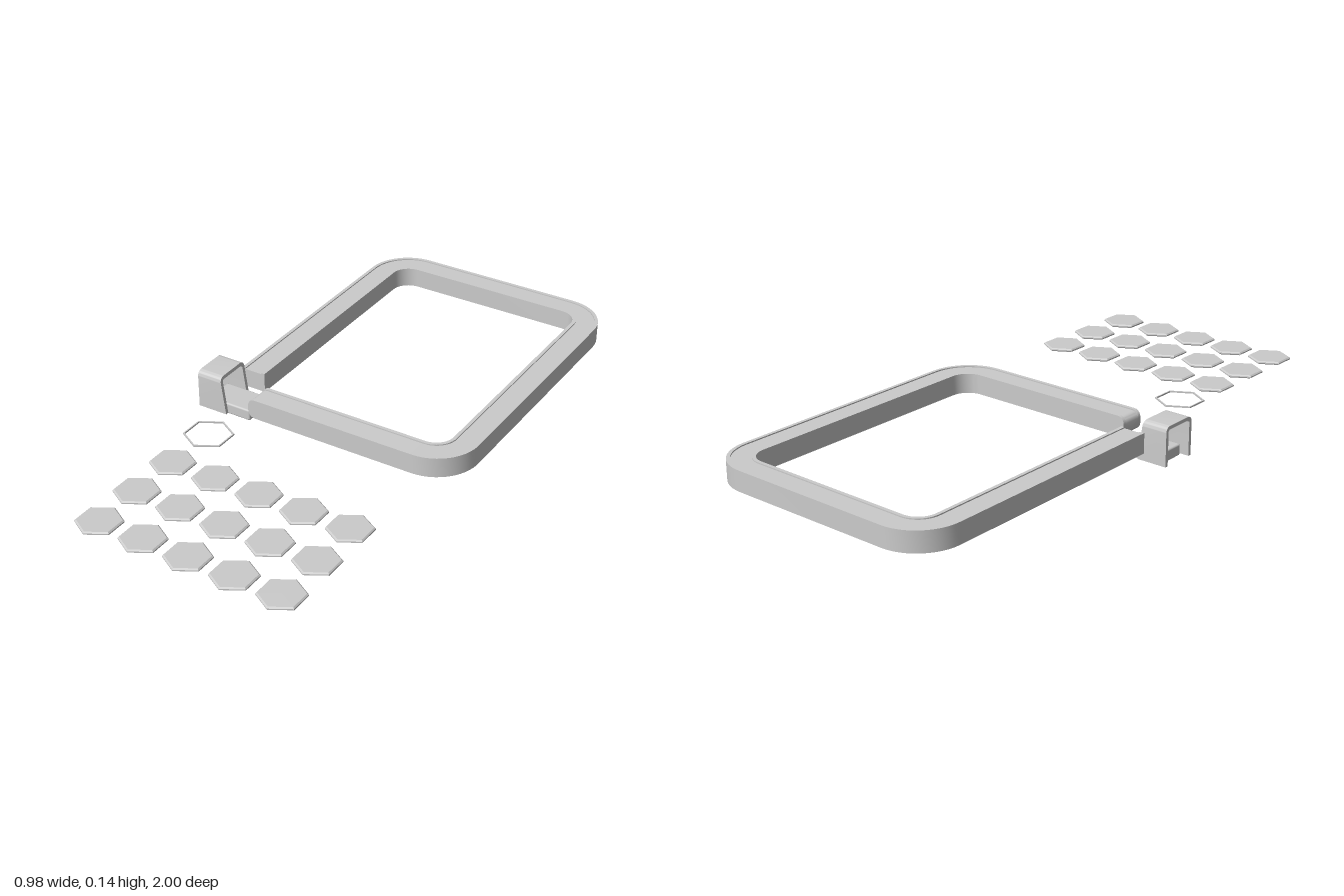
import * as THREE from 'three';
import { toCreasedNormals } from 'three/addons/utils/BufferGeometryUtils.js';
import { RoundedBoxGeometry } from 'three/addons/geometries/RoundedBoxGeometry.js';

const grey = new THREE.MeshStandardMaterial({ color: 0xcccccc });

function add(parent, name, geometry, x = 0, y = 0, z = 0) {
  const mesh = new THREE.Mesh(geometry, grey);
  mesh.name = name;
  mesh.position.set(x, y, z);
  parent.add(mesh);
  return mesh;
}

// Open rectangular loop: stations along the centre line, each with a height scale
function loopStations() {
  const L = -0.368, R = 0.445, B = -0.955, F = 0.12, r = 0.11, steps = 12;
  const stations = [{ x: L, z: 0.01, tx: 0, tz: -1, s: 1 }];
  const corner = (cx, cz, start) => {
    for (let i = 0; i <= steps; i++) {
      const a = start + (i / steps) * Math.PI / 2;
      stations.push({
        x: cx + r * Math.cos(a), z: cz + r * Math.sin(a),
        tx: -Math.sin(a), tz: Math.cos(a), s: 1,
      });
    }
  };
  corner(L + r, B + r, Math.PI);
  corner(R - r, B + r, Math.PI * 1.5);
  corner(R - r, F - r, 0);
  // rounded free end of the front bar
  for (let i = 0; i <= 5; i++) {
    const a = (i / 5) * Math.PI / 2;
    stations.push({
      x: -0.258 - 0.025 * Math.sin(a), z: F, tx: -1, tz: 0,
      s: (0.01 + 0.025 * Math.cos(a)) / 0.035,
    });
  }
  return stations;
}

// Bar section (outward, up) with a shallow recess between two rims on top
function frameGeometry() {
  const w = 0.045, h = 0.035, rim = 0.012, d = 0.004;
  const section = [
    [0, -h], [-w, -h], [-w, h], [-w + rim, h], [-w + rim, h - d],
    [w - rim, h - d], [w - rim, h], [w, h], [w, -h],
  ];
  const rings = loopStations().map(({ x, z, tx, tz, s }) =>
    section.map(([u, v]) => [x + u * tz, 0.07 + v * s, z - u * tx]));
  const pos = [];
  const tri = (...points) => points.forEach((p) => pos.push(...p));
  const n = section.length;
  for (let i = 0; i < rings.length - 1; i++) {
    for (let j = 0; j < n; j++) {
      const k = (j + 1) % n;
      const a = rings[i][j], b = rings[i + 1][j], c = rings[i + 1][k], e = rings[i][k];
      tri(a, b, e);
      tri(b, c, e);
    }
  }
  const first = rings[0], last = rings[rings.length - 1];
  for (let j = 1; j < n - 1; j++) {
    tri(first[0], first[j], first[j + 1]);
    tri(last[0], last[j + 1], last[j]);
  }
  const geometry = new THREE.BufferGeometry();
  geometry.setAttribute('position', new THREE.Float32BufferAttribute(pos, 3));
  return toCreasedNormals(geometry, 0.6);
}

// Channel open at both ends and below, with a slanted inner end
function clipGeometry() {
  const w = 0.068, top = 0.14, low = 0.005, r = 0.02, t = 0.012, q = r - t;
  const shape = new THREE.Shape();
  shape.moveTo(w, low);
  shape.lineTo(w, top - r);
  shape.absarc(w - r, top - r, r, 0, Math.PI / 2);
  shape.absarc(-w + r, top - r, r, Math.PI / 2, Math.PI);
  shape.lineTo(-w, low);
  shape.lineTo(-w + t, low);
  shape.absarc(-w + r, top - r, q, Math.PI, Math.PI / 2, true);
  shape.absarc(w - r, top - r, q, Math.PI / 2, 0, true);
  shape.lineTo(w - t, low);
  const geometry = new THREE.ExtrudeGeometry(shape, { depth: 0.1, bevelEnabled: false, curveSegments: 6 });
  geometry.rotateY(Math.PI / 2);
  const p = geometry.attributes.position;
  for (let i = 0; i < p.count; i++) {
    p.setX(i, p.getX(i) > 0.05 ? -0.38 - 0.02 * p.getY(i) / top : -0.49);
  }
  return toCreasedNormals(geometry, 0.6);
}

export function createModel() {
  const model = new THREE.Group();
  model.name = 'frameAndTiles';

  add(model, 'frame', frameGeometry());

  // Corner connector
  const connector = new THREE.Group();
  connector.name = 'connector';
  model.add(connector);
  add(connector, 'clipChannel', clipGeometry(), 0, 0, 0.088);
  add(connector, 'clipTongue', new RoundedBoxGeometry(0.165, 0.04, 0.108, 2, 0.006), -0.3775, 0.02, 0.088);

  // Hexagonal tiles, three rows of five
  const tiles = new THREE.Group();
  tiles.name = 'tiles';
  model.add(tiles);
  const profile = [[0, 0], [0.068, 0], [0.075, 0.004], [0.075, 0.008], [0.07, 0.012], [0, 0.012]]
    .map(([r, y]) => new THREE.Vector2(r, y));
  const tile = toCreasedNormals(new THREE.LatheGeometry(profile, 6), 0.1);
  for (let row = 0; row < 3; row++) {
    for (let col = 0; col < 5; col++) {
      add(tiles, 'tile', tile, -0.29 + col * 0.1625, 0.075, 0.565 + row * 0.18);
    }
  }

  // Thin hexagonal ring
  const hexagon = (r) => Array.from({ length: 6 }, (_, i) => {
    const a = (i + 0.5) * Math.PI / 3;
    return new THREE.Vector2(r * Math.cos(a), r * Math.sin(a));
  });
  const outline = new THREE.Shape(hexagon(0.082));
  outline.holes.push(new THREE.Path(hexagon(0.077)));
  const ring = new THREE.ExtrudeGeometry(outline, { depth: 0.005, bevelEnabled: false });
  ring.rotateX(-Math.PI / 2);
  add(model, 'hexRing', ring, -0.29, 0.079, 0.375);

  return model;
}
